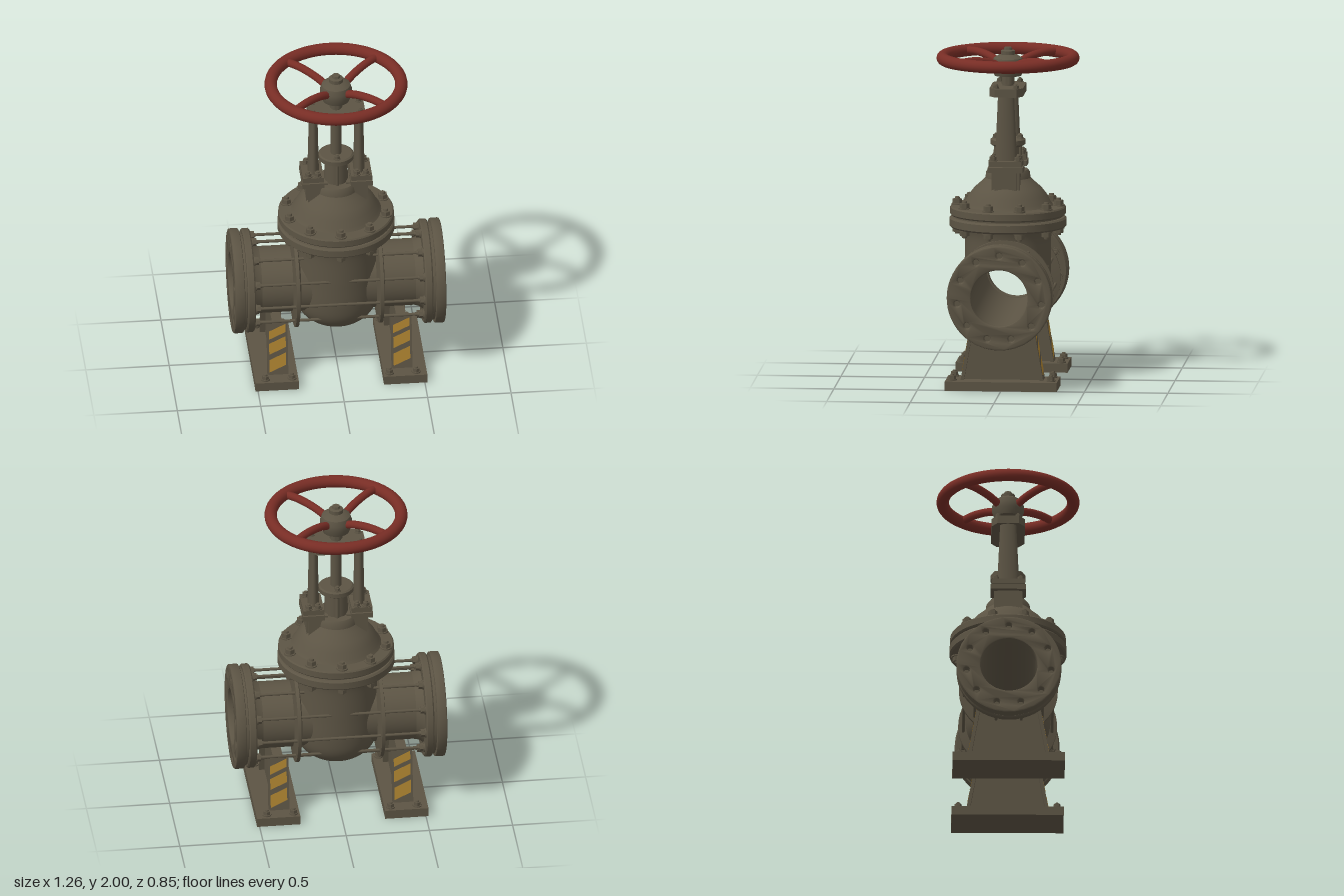
import * as THREE from 'three';
import { toCreasedNormals } from 'three/addons/utils/BufferGeometryUtils.js';

const mat = (name, color, side = THREE.FrontSide) => {
  const m = new THREE.MeshStandardMaterial({ color, side });
  m.name = name;
  return m;
};

export function createModel() {
  const iron = mat('weathered iron', 0x5c5444, THREE.DoubleSide);
  const red = mat('red paint', 0x782d25);
  const yellow = mat('yellow paint', 0xac8230, THREE.DoubleSide);
  const root = new THREE.Group();
  root.name = 'gateValve';
  const CY = 0.577; // height of the pipe axis

  const add = (parent, name, geo, x = 0, y = 0, z = 0, m = iron) => {
    const mesh = new THREE.Mesh(geo, m);
    mesh.name = name;
    mesh.position.set(x, y, z);
    parent.add(mesh);
    return mesh;
  };
  const lathe = (pts, seg = 48) => toCreasedNormals(
    new THREE.LatheGeometry(pts.map(p => new THREE.Vector2(p[0], p[1])), seg), 0.6);
  const cyl = (r0, r1, h, seg = 32) => new THREE.CylinderGeometry(r0, r1, h, seg);
  const box = (w, h, d) => new THREE.BoxGeometry(w, h, d);
  // Lathe turned so its axis runs along +x
  const latheX = (pts, seg) => lathe(pts, seg).rotateZ(-Math.PI / 2);

  // Hex bolt with washer and stud end, pointing up from its seat
  const washerGeo = cyl(0.034, 0.034, 0.01, 16).translate(0, 0.005, 0);
  const nutGeo = toCreasedNormals(cyl(0.027, 0.028, 0.028, 6).translate(0, 0.022, 0), 0.5);
  const studGeo = cyl(0.013, 0.015, 0.012, 12).translate(0, 0.042, 0);
  const bolt = (parent, x, y, z, s = 1, rot = 0) => {
    const g = new THREE.Group();
    g.name = 'bolt';
    add(g, 'washer', washerGeo);
    add(g, 'nut', nutGeo);
    add(g, 'studEnd', studGeo);
    g.position.set(x, y, z);
    g.rotation.z = rot;
    g.scale.setScalar(s);
    parent.add(g);
  };

  // Valve body: rounded vertical barrel, opened where the bore crosses it
  const profile = new THREE.SplineCurve([[0.001, 0.265], [0.09, 0.283], [0.18, 0.33], [0.235, 0.4],
    [0.255, 0.5], [0.257, 0.65], [0.257, 0.85], [0.275, 0.93]].map(p => new THREE.Vector2(...p)));
  const barrel = new THREE.LatheGeometry(profile.getSpacedPoints(50), 96);
  const pos = barrel.attributes.position;
  const inBore = i => Math.hypot(pos.getY(i) - CY, pos.getZ(i)) < 0.185;
  const idx = Array.from(barrel.index.array);
  const kept = [];
  for (let i = 0; i < idx.length; i += 3) {
    const tri = idx.slice(i, i + 3);
    if (!tri.some(inBore)) kept.push(...tri);
  }
  barrel.setIndex(kept);
  add(root, 'body', barrel);
  add(root, 'drainPlug', cyl(0.015, 0.015, 0.04, 12), 0, 0.265, 0);

  // Through pipe with open bore
  add(root, 'pipe', latheX([[0.178, -0.56], [0.2, -0.56], [0.2, 0.56], [0.178, 0.56], [0.178, -0.56]]), 0, CY, 0);

  // End flanges, ribs and tie rods
  const N = 11, boltR = 0.267;
  const around = (n, r, f) => {
    for (let i = 0; i < n; i++) {
      const a = (i / n) * Math.PI * 2;
      f(r * Math.cos(a), r * Math.sin(a));
    }
  };
  const face = new THREE.Shape().absarc(0, 0, 0.306, 0, Math.PI * 2, false);
  face.holes.push(new THREE.Path().absarc(0, 0, 0.178, 0, Math.PI * 2, true));
  around(N, boltR - 0.012, (y, z) => face.holes.push(new THREE.Path().absarc(-z, y, 0.027, 0, Math.PI * 2, true)));
  const faceGeo = toCreasedNormals(new THREE.ExtrudeGeometry(face, {
    depth: 0.04, bevelEnabled: true, bevelSize: 0.008, bevelThickness: 0.01, bevelSegments: 2, curveSegments: 32,
  }), 0.6).rotateY(Math.PI / 2);
  const ring = (ri, ro, x0, x1) => latheX([[ri, x0], [ro - 0.008, x0], [ro, x0 + 0.008],
    [ro, x1 - 0.008], [ro - 0.008, x1], [ri, x1], [ri, x0]]);

  for (const side of [0, 1]) {
    const end = new THREE.Group();
    end.name = side ? 'rightEnd' : 'leftEnd';
    end.position.y = CY;
    end.rotation.y = side * Math.PI;
    root.add(end);
    add(end, 'outerFlange', faceGeo, 0.582, 0, 0);
    add(end, 'gasket', ring(0.178, 0.293, 0.55, 0.585));
    add(end, 'innerFlange', ring(0.178, 0.312, 0.508, 0.556));
    add(end, 'pipeFillet', latheX([[0.2, 0.46], [0.21, 0.49], [0.225, 0.51]]));
    add(end, 'bodyRib', latheX([[0.19, 0.225], [0.26, 0.235], [0.295, 0.242], [0.295, 0.262],
      [0.26, 0.267], [0.19, 0.275]]));
    around(N, boltR, (y, z) => bolt(end, 0.508, y, z, 0.85, Math.PI / 2));
  }
  around(N, boltR, (y, z) => add(root, 'tieRod', cyl(0.009, 0.009, 1.0, 10).rotateZ(Math.PI / 2), 0, CY + y, z));

  // Body flange and bonnet
  add(root, 'bodyFlange', lathe([[0, 0.92], [0.34, 0.92], [0.35, 0.93], [0.35, 0.972], [0.34, 0.982], [0, 0.982]], 64));
  add(root, 'bonnetGasket', cyl(0.325, 0.325, 0.03, 48), 0, 0.988, 0);
  add(root, 'bonnet', lathe([[0, 0.992], [0.338, 0.992], [0.345, 1.0], [0.345, 1.038], [0.338, 1.046], [0.27, 1.05],
    [0.255, 1.07], [0.235, 1.11], [0.2, 1.155], [0.16, 1.19], [0.135, 1.215], [0.13, 1.25], [0.12, 1.265], [0, 1.265]], 64));
  around(10, 0.303, (z, x) => {
    bolt(root, x, 1.044, z, 1.05);
    bolt(root, x, 0.922, z, 1.05, Math.PI);
  });

  // Yoke shoulders, feet and columns
  for (const s of [-1, 1]) {
    add(root, 'yokeShoulder', box(0.13, 0.2, 0.13), s * 0.12, 1.175, 0);
    for (const z of [-0.075, 0.075]) add(root, 'shoulderRib', box(0.09, 0.14, 0.02), s * 0.13, 1.2, z);
    add(root, 'yokeFootLower', box(0.13, 0.032, 0.21), s * 0.145, 1.286, 0);
    add(root, 'yokeFootUpper', box(0.125, 0.032, 0.2), s * 0.145, 1.322, 0);
    add(root, 'yokeColumn', cyl(0.048, 0.066, 0.41).scale(0.52, 1, 1), s * 0.137, 1.53, 0);
    for (const z of [-0.075, 0.075]) {
      for (const x of [0.117, 0.173]) bolt(root, s * x, 1.336, z, 0.75);
      bolt(root, s * 0.14, 1.768, z * 0.8, 0.6);
    }
  }
  const plate = new THREE.Shape([[-0.17, -0.065], [-0.12, -0.1], [0.12, -0.1], [0.17, -0.065],
    [0.17, 0.065], [0.12, 0.1], [-0.12, 0.1], [-0.17, 0.065]].map(p => new THREE.Vector2(...p)));
  add(root, 'yokeTopPlate', new THREE.ExtrudeGeometry(plate, { depth: 0.05, bevelEnabled: false })
    .rotateX(-Math.PI / 2), 0, 1.72, 0);

  // Stem and gland
  add(root, 'stem', cyl(0.032, 0.032, 0.62), 0, 1.54, 0);
  add(root, 'glandNeck', cyl(0.068, 0.072, 0.17), 0, 1.335, 0);
  add(root, 'gland', lathe([[0, 1.405], [0.085, 1.405], [0.105, 1.418], [0.105, 1.445], [0.095, 1.452], [0, 1.452]]));
  for (const z of [-0.072, 0.072]) {
    bolt(root, 0, 1.45, z, 0.65);
    add(root, 'glandStud', cyl(0.012, 0.012, 0.18, 10), 0, 1.34, z);
  }

  // Handwheel
  add(root, 'wheelHub', lathe([[0, 1.78], [0.038, 1.78], [0.038, 1.83], [0.08, 1.83], [0.095, 1.87], [0.095, 1.905],
    [0.085, 1.935], [0.06, 1.952], [0.042, 1.957], [0.042, 1.98], [0.025, 1.985], [0.022, 2.0], [0, 2.0]]));
  add(root, 'wheelRim', new THREE.TorusGeometry(0.39, 0.037, 16, 64).rotateX(Math.PI / 2), 0, 1.935, 0, red);
  const spoke = new THREE.TubeGeometry(new THREE.CatmullRomCurve3([
    new THREE.Vector3(0.07, 1.895, 0), new THREE.Vector3(0.16, 1.925, 0),
    new THREE.Vector3(0.28, 1.942, 0), new THREE.Vector3(0.385, 1.938, 0)]), 16, 0.024, 12);
  for (let i = 0; i < 4; i++) add(root, 'wheelSpoke', spoke, 0, 0, 0, red).rotation.y = Math.PI / 4 + i * Math.PI / 2;

  // Support stands: base, tapered web and sloping striped end plates
  const shapeOf = pts => new THREE.Shape(pts.map(p => new THREE.Vector2(...p)));
  const webGeo = new THREE.ExtrudeGeometry(shapeOf([[-0.24, 0.05], [0.24, 0.05], [0.18, 0.39], [-0.18, 0.39]]),
    { depth: 0.06, bevelEnabled: false }).translate(0, 0, -0.03).rotateY(Math.PI / 2);
  const stripes = [[0.05, 0.13], [0.165, 0.235], [0.262, 0.315]];
  for (const s of [-1, 1]) {
    const stand = new THREE.Group();
    stand.name = s > 0 ? 'leftStand' : 'rightStand';
    stand.position.x = s * 0.372;
    root.add(stand);
    add(stand, 'base', box(0.26, 0.055, 0.67), s * 0.013, 0.0275, 0);
    add(stand, 'web', webGeo);
    for (const turn of [0, Math.PI]) {
      const end = new THREE.Group();
      end.name = 'standEnd';
      end.rotation.y = turn;
      stand.add(end);
      const slope = new THREE.Group();
      slope.name = 'slopingPlate';
      slope.position.set(0, 0.05, 0.238);
      slope.rotation.x = -0.175;
      end.add(slope);
      add(slope, 'endPlate', box(0.125, 0.35, 0.02), 0, 0.17, 0);
      for (const [a, b] of stripes) {
        add(slope, 'warningStripe', new THREE.ShapeGeometry(shapeOf(
          [[-0.05, a - 0.03], [0.05, a + 0.015], [0.05, b + 0.015], [-0.05, b - 0.03]])), 0, 0, 0.0125, yellow);
      }
      for (const x of [-0.08, 0.08]) bolt(end, x, 0.055, 0.295, 0.8);
    }
  }
  return root;
}
